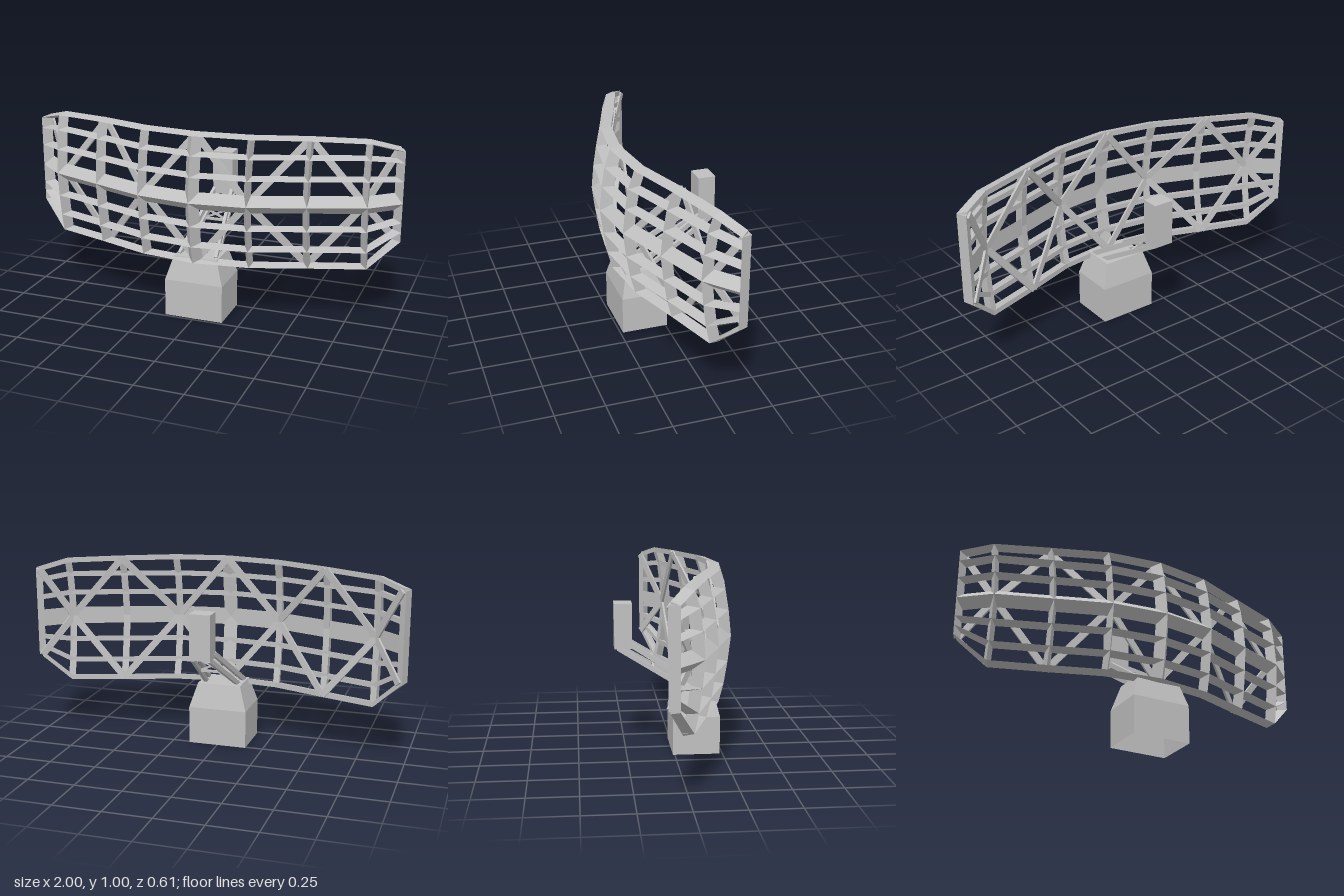
import * as THREE from 'three';

const V = (x, y, z) => new THREE.Vector3(x, y, z);

// Flat-shaded solid lofted through a list of equal-sized rings of points
function loft(rings, capStart = true, capEnd = true) {
  const pos = [];
  const tri = (...p) => p.forEach(v => pos.push(v.x, v.y, v.z));
  const n = rings[0].length;
  for (let i = 0; i < rings.length - 1; i++) {
    for (let k = 0; k < n; k++) {
      const m = (k + 1) % n;
      const a = rings[i][k], b = rings[i][m], c = rings[i + 1][m], d = rings[i + 1][k];
      tri(a, b, c);
      tri(a, c, d);
    }
  }
  const first = rings[0], last = rings[rings.length - 1];
  for (let k = 1; k < n - 1; k++) {
    if (capStart) tri(first[0], first[k + 1], first[k]);
    if (capEnd) tri(last[0], last[k], last[k + 1]);
  }
  const g = new THREE.BufferGeometry();
  g.setAttribute('position', new THREE.Float32BufferAttribute(pos, 3));
  g.computeVertexNormals();
  return g;
}

// Columns from the centre outwards: x and z of the back face, outward normal angle, vertical bow
const COLUMNS = [
  { x: 0, z: 0.25, angle: 0, bow: 1 },
  { x: 0.28, z: 0.215, angle: 0.2, bow: 1 },
  { x: 0.555, z: 0.117, angle: 0.33, bow: 0.95 },
  { x: 0.83, z: 0.02, angle: 0.42, bow: 0.8 },
  { x: 0.967, z: -0.098, angle: 0.7, bow: 0 },
];
const ROW_Y = [0.985, 0.89, 0.785, 0.655, 0.525, 0.41, 0.315];
const END_Y = [0.925, 0.865, 0.77, 0.655, 0.555, 0.505, 0.455];
const ROW_Z = [-0.06, -0.03, -0.013, 0, -0.016, -0.035, -0.06];
const TOP_DROP = [0, 0.002, 0.007, 0.018, 0];
const DEPTH = 0.054, MID = 3;

// Lattice node: back point, apex in front of it, and sideways tangent
function node(c, r) {
  const i = Math.abs(c), s = c < 0 ? -1 : 1, col = COLUMNS[i];
  const y = (i === 4 ? END_Y : ROW_Y)[r] - (r === 0 ? TOP_DROP[i] : 0);
  const back = V(s * col.x, y, col.z + ROW_Z[r] * col.bow);
  const normal = V(s * Math.sin(col.angle), 0, Math.cos(col.angle));
  const tangent = V(Math.cos(col.angle), 0, -s * Math.sin(col.angle));
  return { back, apex: back.clone().addScaledVector(normal, DEPTH), tangent };
}

export function createModel() {
  const root = new THREE.Group();
  const grey = new THREE.MeshStandardMaterial({ color: 0xc0c0c0, side: THREE.DoubleSide });
  const add = (parent, name, geometry) => {
    const mesh = new THREE.Mesh(geometry, grey);
    mesh.name = name;
    parent.add(mesh);
    return mesh;
  };
  const group = name => {
    const g = new THREE.Group();
    g.name = name;
    root.add(g);
    return g;
  };
  // Rectangular bar between two points
  const beam = (parent, name, a, b, w, t) => {
    const mesh = add(parent, name, new THREE.BoxGeometry(w, t, a.distanceTo(b)));
    mesh.position.copy(a).lerp(b, 0.5);
    mesh.lookAt(b);
  };

  // Reflector lattice: triangular bars with their points to the front
  const reflector = group('reflector');
  const span = [-4, -3, -2, -1, 0, 1, 2, 3, 4];
  for (let r = 0; r < 7; r++) {
    const h = r === MID ? 0.046 : 0.014;
    add(reflector, r === MID ? 'mainCrossbar' : 'crossbar', loft(span.map(c => {
      const { back, apex } = node(c, r);
      return [back.clone().add(V(0, -h, 0)), apex, back.clone().add(V(0, h, 0))];
    })));
  }
  for (const c of span) {
    const w = c === 0 ? 0.037 : 0.018;
    add(reflector, c === 0 ? 'mainRib' : 'rib', loft(ROW_Y.map((_, r) => {
      const { back, apex, tangent } = node(c, r);
      return [back.clone().addScaledVector(tangent, w), apex, back.clone().addScaledVector(tangent, -w)];
    })));
  }

  // Diagonal braces across the back, zigzagging from the main crossbar to the rims
  const braces = group('diagonalBraces');
  for (const s of [-1, 1]) {
    for (const rim of [0, 6]) {
      for (const [from, to] of [[1, 0], [1, 2], [3, 2], [3, 4]]) {
        const a = node(s * from, MID).back, b = node(s * to, rim).back;
        const mid = node(s * to, MID);
        const across = b.clone().sub(a).normalize();
        const outward = V(mid.tangent.z, 0, -mid.tangent.x).normalize();
        outward.z = -Math.abs(outward.z);
        outward.x = -s * Math.abs(outward.x);
        const side = outward.clone().cross(across).normalize();
        const ring = p => [[-1, 0], [1, 0], [1, 1], [-1, 1]].map(([u, v]) =>
          p.clone().addScaledVector(side, u * 0.018).addScaledVector(outward, v * 0.012));
        add(braces, 'diagonalBrace', loft([ring(a), ring(b)]));
      }
    }
  }

  // Pedestal: open-bottomed box with tapered shoulders
  const rect = (hx, y, z0, z1) => [V(-hx, y, z1), V(hx, y, z1), V(hx, y, z0), V(-hx, y, z0)];
  add(root, 'pedestal', loft([
    rect(0.157, 0, -0.01, 0.236),
    rect(0.157, 0.2, -0.01, 0.236),
    rect(0.117, 0.33, 0.022, 0.204),
  ], false, true));

  // Feed arm: four converging rails with cross bracing
  const arm = group('feedArm');
  const upper = s => [V(s * 0.1, 0.325, 0.17), V(s * 0.048, 0.572, -0.225)];
  const lower = s => [V(s * 0.092, 0.305, 0.12), V(s * 0.044, 0.55, -0.285)];
  for (const s of [-1, 1]) {
    beam(arm, 'upperRail', ...upper(s), 0.017, 0.026);
    beam(arm, 'lowerRail', ...lower(s), 0.017, 0.024);
  }
  const at = ([a, b], t) => a.clone().lerp(b, t);
  beam(arm, 'armCrossbar', at(upper(-1), 0.7), at(upper(1), 0.7), 0.012, 0.012);
  beam(arm, 'armCrossbar', at(lower(-1), 0.55), at(lower(1), 0.55), 0.012, 0.012);
  for (const s of [-1, 1]) {
    beam(arm, 'armCrossBrace', at(upper(s), 0.7), at(lower(-s), 0.55), 0.01, 0.01);
  }

  // Feed horn: upright box facing the hollow side of the reflector
  add(root, 'feedHorn', loft([
    rect(0.055, 0.547, -0.305, -0.215),
    rect(0.055, 0.785, -0.305, -0.212),
  ]));

  return root;
}
